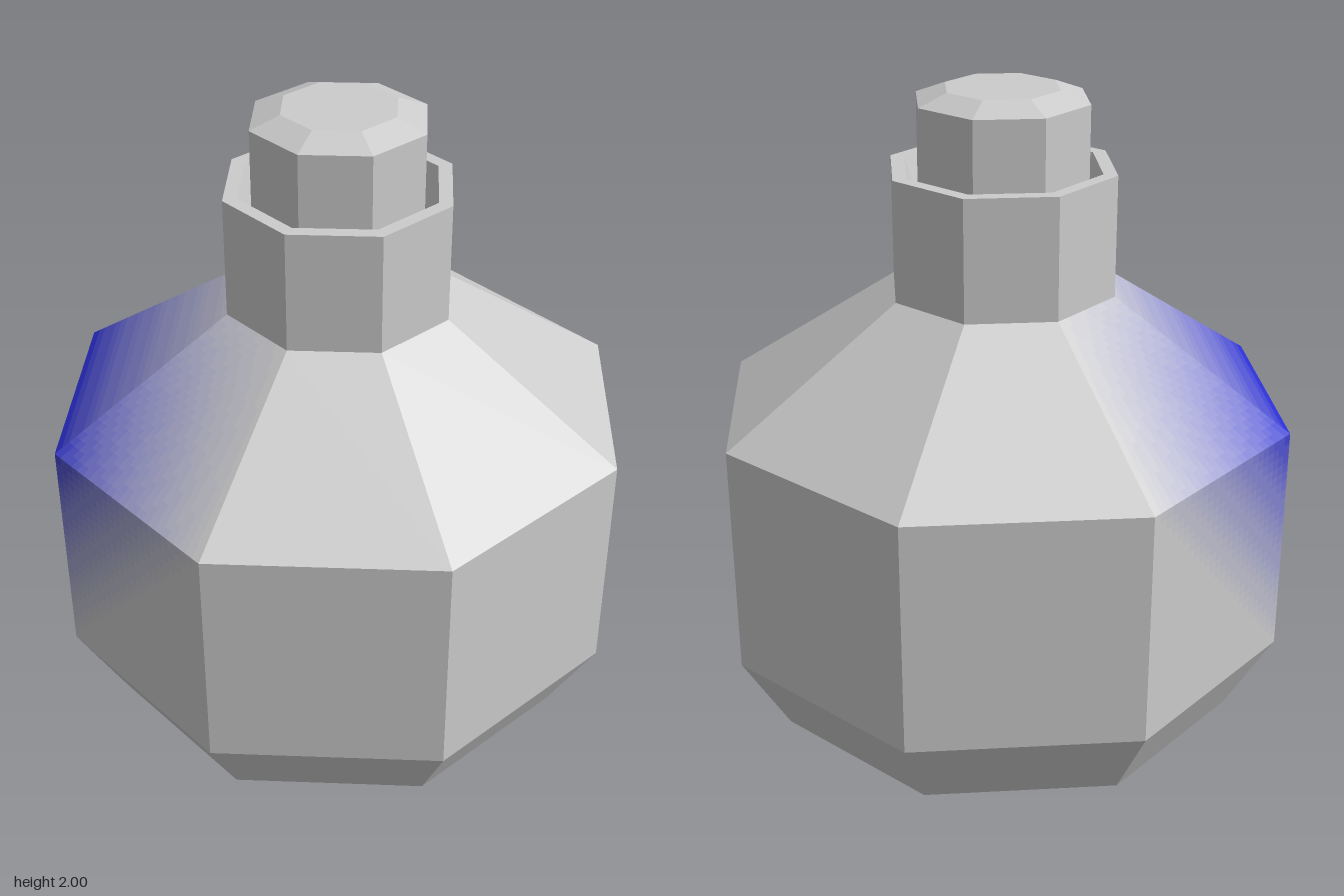
import * as THREE from 'three';

const SIDES = 8;
const STEP = (Math.PI * 2) / SIDES;
const GREY = 0xcccccc;
const BLUE = 0x2b2fd0;

const makeMaterial = (color = GREY) =>
  new THREE.MeshStandardMaterial({ color, flatShading: true });

// Octagonal turned part from [radius, y] pairs, optionally only some facets
function turned(name, profile, facets = SIDES) {
  const points = profile.map(([r, y]) => new THREE.Vector2(r, y));
  const geometry = new THREE.LatheGeometry(points, facets, 0, facets * STEP);
  const mesh = new THREE.Mesh(geometry, makeMaterial());
  mesh.name = name;
  return mesh;
}

// Facets whose blue stain fades to grey, cut into cells and grouped by tint
function stainedFacets(bands, firstFacet) {
  const group = new THREE.Group();
  group.name = 'stainedFacets';
  const cells = 24, levels = 20;
  const buckets = Array.from({ length: levels + 1 }, () => []);
  const stain = { 6: 1, 7: 1 }; // blue corners on the shoulder ring
  const corner = (k, [r, y]) =>
    new THREE.Vector3(r * Math.sin(k * STEP), y, r * Math.cos(k * STEP));

  for (const { low, high, weight } of bands) {
    for (let k = firstFacet; k < SIDES; k++) {
      const [a, b] = [corner(k, low), corner(k + 1, low)];
      const [c, d] = [corner(k, high), corner(k + 1, high)];
      const at = (i, j) => {
        const lower = a.clone().lerp(b, i / cells);
        return lower.lerp(c.clone().lerp(d, i / cells), j / cells).toArray();
      };
      for (let i = 0; i < cells; i++) {
        for (let j = 0; j < cells; j++) {
          const u = (i + 0.5) / cells, v = (j + 0.5) / cells;
          const along = (stain[k] || 0) * (1 - u) + (stain[k + 1] || 0) * u;
          const level = Math.round(weight(along, v) * levels);
          const [p, q, r, s] = [at(i, j), at(i + 1, j), at(i + 1, j + 1), at(i, j + 1)];
          buckets[level].push(...p, ...q, ...r, ...p, ...r, ...s);
        }
      }
    }
  }

  buckets.forEach((positions, level) => {
    if (!positions.length) return;
    const geometry = new THREE.BufferGeometry();
    geometry.setAttribute('position', new THREE.Float32BufferAttribute(positions, 3));
    geometry.computeVertexNormals();
    const color = new THREE.Color(GREY).lerp(new THREE.Color(BLUE), level / levels);
    const mesh = new THREE.Mesh(geometry, makeMaterial(color));
    mesh.name = `stainTint${level}`;
    group.add(mesh);
  });
  return group;
}

export function createModel() {
  const model = new THREE.Group();
  model.name = 'bottle';

  const hip = [0.92, 0.26], shoulder = [0.92, 1.0], neckFoot = [0.36, 1.38];

  // Base: slightly dished underside and the bevel up to the body
  model.add(turned('base', [[0, 0.01], [0.42, 0.01], [0.77, 0], hip]));

  // Body and sloping shoulder: plain facets, then the stained ones
  model.add(turned('body', [hip, shoulder, neckFoot], 5));
  model.add(stainedFacets([
    { low: hip, high: shoulder, weight: (along, v) => Math.max(0, along + v - 1) },
    { low: shoulder, high: neckFoot, weight: (along, v) => along * (1 - 0.85 * v) },
  ], 5));

  // Neck with a thin lip and an inner wall narrowing towards the stopper
  model.add(turned('neck', [neckFoot, [0.36, 1.76], [0.315, 1.76], [0.26, 1.6]]));

  // Stopper with a chamfered top
  model.add(turned('stopper', [[0, 1.56], [0.273, 1.56], [0.273, 1.965], [0.18, 2], [0, 2]]));

  return model;
}
